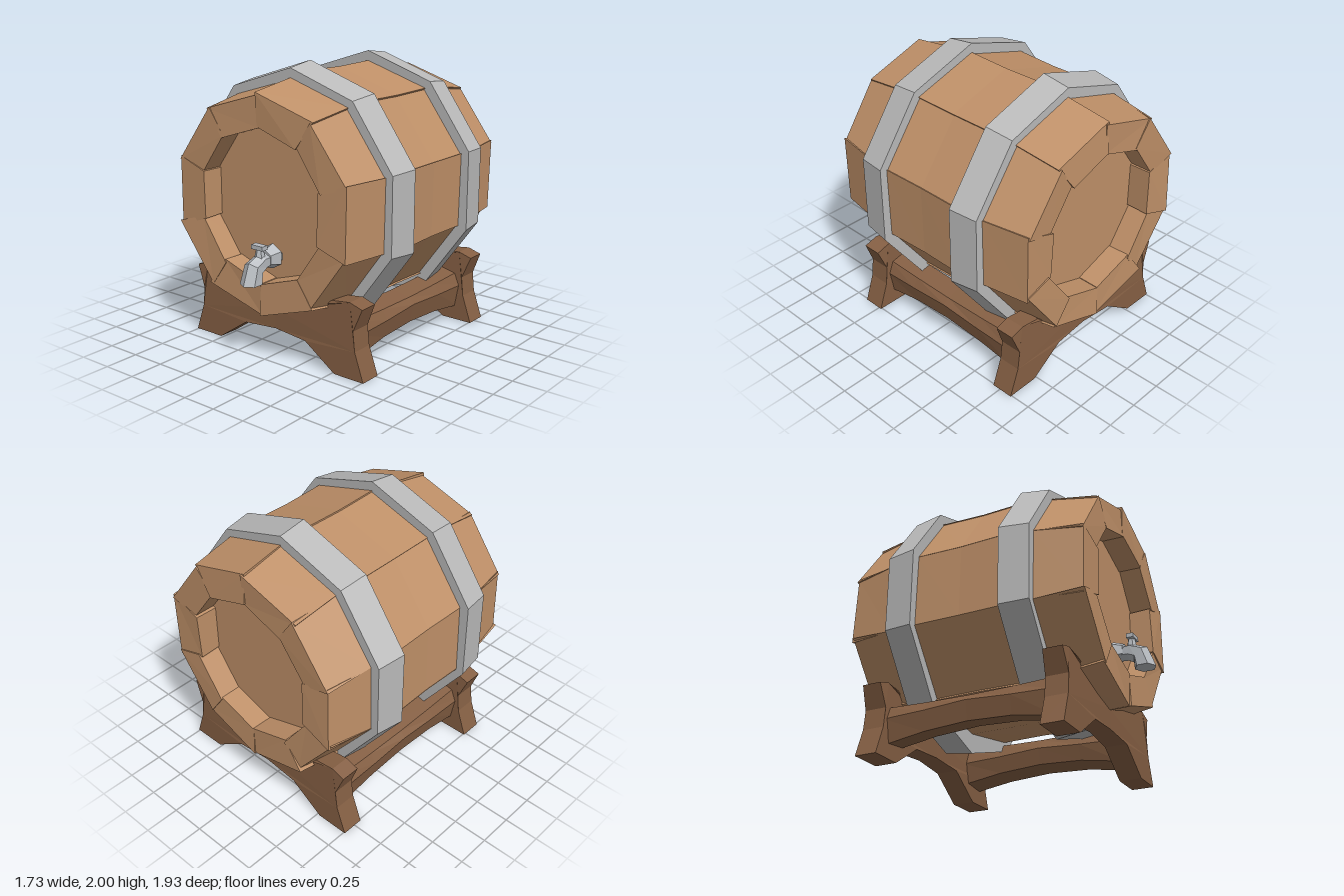
import * as THREE from 'three';

const CY = 1.09;            // height of the barrel axis
const SIDES = 10;
const STEP = (Math.PI * 2) / SIDES;

const mat = (name, color) => {
  const m = new THREE.MeshStandardMaterial({ color });
  m.name = name;
  return m;
};

// Small seeded generator for hand-cut irregularity, returns -1..1
let seed = 11;
const jitter = () => {
  seed = (seed * 16807) % 2147483647;
  return (seed / 2147483647) * 2 - 1;
};

// Faceted normals for any geometry
function facet(geo) {
  const g = geo.index ? geo.toNonIndexed() : geo;
  g.computeVertexNormals();
  return g;
}

// Closed solid through rings of points; each ring runs counter-clockwise seen from the last ring's end
function loft(rings) {
  const pos = [];
  const tri = (a, b, c) => pos.push(...a, ...b, ...c);
  const n = rings[0].length;
  for (let i = 0; i < rings.length - 1; i++) {
    for (let j = 0; j < n; j++) {
      const k = (j + 1) % n;
      const [a, b, c, d] = [rings[i][j], rings[i][k], rings[i + 1][k], rings[i + 1][j]];
      tri(a, b, c);
      tri(a, c, d);
    }
  }
  const first = rings[0], last = rings[rings.length - 1];
  for (let j = 1; j < n - 1; j++) {
    tri(first[0], first[j + 1], first[j]);
    tri(last[0], last[j], last[j + 1]);
  }
  const g = new THREE.BufferGeometry();
  g.setAttribute('position', new THREE.Float32BufferAttribute(pos, 3));
  return facet(g);
}

export function createModel() {
  const model = new THREE.Group();
  model.name = 'barrelOnStand';
  const oak = mat('oak', 0xbf9068);
  const darkWood = mat('darkWood', 0x866044);
  const iron = mat('iron', 0xbababa);
  const tapMetal = mat('tapMetal', 0xb6babf);

  const add = (parent, name, geo, material) => {
    const m = new THREE.Mesh(geo, material);
    m.name = name;
    parent.add(m);
    return m;
  };

  // Staves: bulging wedges around the axis, each slightly uneven and overlapping its neighbours
  const barrel = new THREE.Group();
  barrel.name = 'barrel';
  barrel.position.y = CY;
  model.add(barrel);
  const bulge = [[-0.955, 0.762], [-0.62, 0.815], [-0.41, 0.838], [-0.08, 0.832], [0.24, 0.842], [0.45, 0.815], [0.78, 0.762]];
  for (let i = 0; i < SIDES; i++) {
    const o = [jitter() * 0.012, jitter() * 0.012];
    const inner = 0.535 + jitter() * 0.014;
    const lap = Math.abs(jitter()) * 0.025;
    const rings = bulge.map(([z, r], k) => {
      const end = k === 0 || k === bulge.length - 1;
      const p = (side, rad) => {
        const a = Math.PI / 2 + (i + side) * STEP + (end ? (side ? lap : -lap) : 0);
        return [Math.cos(a) * rad, Math.sin(a) * rad, z + (end ? jitter() * 0.01 : 0)];
      };
      // the lowest seam is flattened where it rests in the cradle
      const outer = (side) => (i + side === SIDES / 2 ? Math.min(r, 0.768) : r + o[side]);
      return [p(0, inner), p(0, outer(0)), p(1, outer(1)), p(1, inner)];
    });
    add(barrel, 'stave', loft(rings), oak);
  }

  // Recessed heads at both ends
  const heads = new THREE.CylinderGeometry(0.57, 0.57, 1.41, SIDES);
  heads.rotateX(-Math.PI / 2).translate(0, 0, -0.085);
  add(barrel, 'barrelHeads', facet(heads), oak);

  // Iron hoops, wider toward the middle of the barrel
  const hoop = (zFront, rFront, zBack, rBack) => {
    const profile = [[0.75, -zFront], [rFront, -zFront], [rBack, -zBack], [0.75, -zBack]]
      .map(([r, y]) => new THREE.Vector2(r, y));
    const g = new THREE.LatheGeometry(profile, SIDES).rotateX(-Math.PI / 2);
    add(barrel, 'hoop', facet(g), iron);
  };
  hoop(0.45, 0.88, 0.24, 0.91);
  hoop(-0.41, 0.91, -0.62, 0.88);

  // Cradle frames at front and back
  const half = [[0, 0.19], [0.27, 0.17], [0.52, 0], [0.76, 0], [0.69, 0.2], [0.675, 0.34],
    [0.74, 0.5], [0.64, 0.53], [0.49, 0.51], [0.45, 0.48], [0, 0.335]];
  const outline = new THREE.Shape([
    ...half, ...half.slice(1, -1).reverse().map(([x, y]) => [-x, y]),
  ].map(([x, y]) => new THREE.Vector2(x, y)));
  const stand = new THREE.Group();
  stand.name = 'stand';
  model.add(stand);
  for (const z of [0.56, -0.77]) {
    const g = new THREE.ExtrudeGeometry(outline, { depth: 0.16, bevelEnabled: false });
    g.translate(0, 0, -0.08);
    const p = g.attributes.position;
    // thinner tops and waist
    for (let i = 0; i < p.count; i++) {
      const thin = p.getY(i) > 0.49 ? 0.86 : Math.abs(p.getX(i)) < 0.1 ? 0.9 : 1;
      p.setZ(i, p.getZ(i) * thin);
    }
    add(stand, 'cradleFrame', facet(g), darkWood).position.z = z;
  }

  // Arched side rails joining the frames, tucked up under the barrel: z, bottom, middle edge, top
  const arch = [[-0.72, 0.1, 0.27, 0.36], [-0.42, 0.145, 0.28, 0.35], [-0.1, 0.165, 0.3, 0.345],
    [0.22, 0.15, 0.28, 0.35], [0.52, 0.1, 0.27, 0.36]];
  for (const s of [1, -1]) {
    const rings = arch.map(([z, b, m, t]) => {
      const section = [[-0.1, b + 0.02], [0.07, b], [0.1, m], [0.06, t], [-0.08, t + 0.03], [-0.13, m]];
      const ring = section.map(([x, y]) => [s * (0.55 + x), y, z]);
      return s > 0 ? ring : ring.reverse();
    });
    add(stand, 'sideRail', loft(rings), darkWood);
  }

  // Tap: stem and drooping spout, six-sided sections square to the path
  const tap = new THREE.Group();
  tap.name = 'tap';
  tap.position.x = 0.02;
  model.add(tap);
  const path = [[0.58, 0.72, 0.045, 0], [0.73, 0.72, 0.052, 0], [0.79, 0.72, 0.06, -0.2],
    [0.86, 0.69, 0.068, -0.8], [0.89, 0.59, 0.075, -1.57]]; // z, y, radius, pitch
  add(tap, 'spout', loft(path.map(([z, y, r, pitch]) =>
    Array.from({ length: 6 }, (_, i) => {
      const a = (i + 0.5) * Math.PI / 3, u = Math.sin(a) * r;
      return [Math.cos(a) * r, y + u * Math.cos(pitch), z - u * Math.sin(pitch)];
    }))), tapMetal);
  const collar = new THREE.CylinderGeometry(0.06, 0.088, 0.08, 6).rotateX(Math.PI / 2);
  add(tap, 'collar', facet(collar), tapMetal).position.set(0, 0.73, 0.71);
  const stem = new THREE.CylinderGeometry(0.02, 0.04, 0.09, 6);
  add(tap, 'handleStem', facet(stem), tapMetal).position.set(0, 0.785, 0.8);
  add(tap, 'handle', facet(new THREE.BoxGeometry(0.1, 0.03, 0.05)), tapMetal).position.set(0, 0.825, 0.805);

  return model;
}
